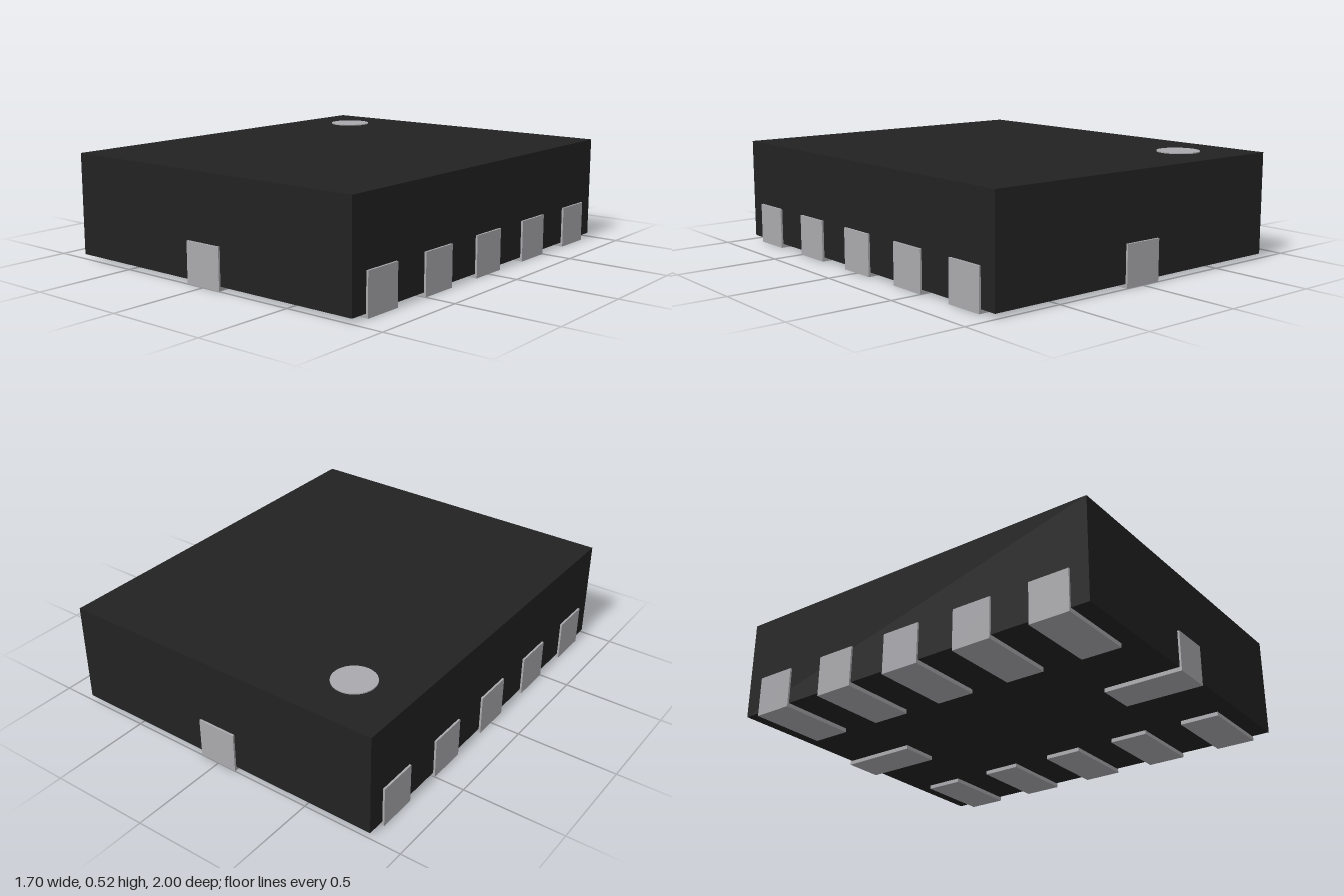
import * as THREE from 'three';

export function createModel() {
  const model = new THREE.Group();
  model.name = 'chipPackage';

  const black = new THREE.MeshStandardMaterial({ color: 0x222222 });
  black.name = 'black moulding';
  const silver = new THREE.MeshStandardMaterial({ color: 0xaaa9ad });
  silver.name = 'silver metal';

  const add = (name, geometry, material) => {
    const mesh = new THREE.Mesh(geometry, material);
    mesh.name = name;
    model.add(mesh);
    return mesh;
  };

  // Moulded body, raised slightly on its pads
  add('body', new THREE.BoxGeometry(1.68, 0.5, 1.98), black).position.y = 0.27;

  // Pin one marker on the top, back right corner
  add('pinOneMarker', new THREE.CylinderGeometry(0.105, 0.105, 0.005, 48), silver)
    .position.set(-0.55, 0.5225, -0.705);

  // L-shaped lead: a flat pad underneath and a thin upright, outer face at x = 0
  const profile = new THREE.Shape([
    [-0.4, 0], [0, 0], [0, 0.2], [-0.01, 0.2], [-0.01, 0.02], [-0.4, 0.02],
  ].map(([x, y]) => new THREE.Vector2(x, y)));
  const leadGeometry = new THREE.ExtrudeGeometry(profile, { depth: 0.2, bevelEnabled: false });
  leadGeometry.translate(0, 0, -0.1);

  const addLead = (name, x, z, angle) => {
    const lead = add(name, leadGeometry, silver);
    lead.position.set(x, 0, z);
    lead.rotation.y = angle;
  };

  // Five leads along each long side
  for (let i = 0; i < 5; i++) {
    const z = -0.8 + i * 0.4;
    addLead(`leftLead${i + 1}`, 0.85, z, 0);
    addLead(`rightLead${i + 1}`, -0.85, z, Math.PI);
  }

  // One lead at each end
  addLead('frontLead', 0, 1, -Math.PI / 2);
  addLead('backLead', 0, -1, Math.PI / 2);

  return model;
}
